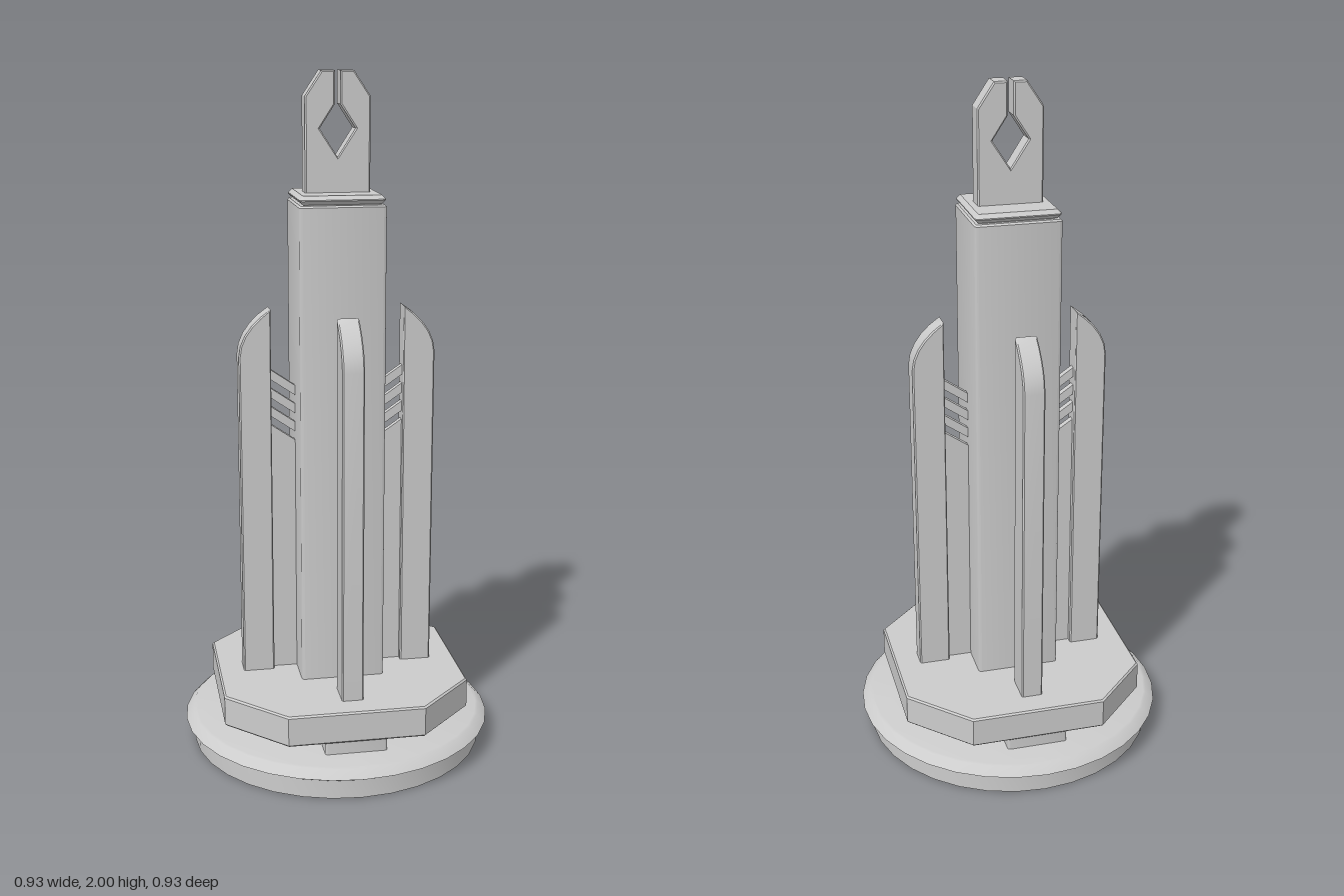
import * as THREE from 'three';
import { toCreasedNormals } from 'three/addons/utils/BufferGeometryUtils.js';

const material = new THREE.MeshStandardMaterial({ color: 0xcccccc });

function add(parent, name, geometry) {
  const mesh = new THREE.Mesh(geometry, material);
  mesh.name = name;
  parent.add(mesh);
  return mesh;
}

// Outline extruded along z, centred on z = 0, with a small bevel kept inside the outline
function plate(points, thickness, bevel = 0) {
  const shape = new THREE.Shape(points.map(([x, y]) => new THREE.Vector2(x, y)));
  const geometry = new THREE.ExtrudeGeometry(shape, {
    depth: thickness - 2 * bevel,
    bevelEnabled: bevel > 0,
    bevelThickness: bevel,
    bevelSize: bevel,
    bevelOffset: -bevel,
    bevelSegments: 1,
  });
  geometry.translate(0, 0, bevel - thickness / 2);
  return toCreasedNormals(geometry, 0.55);
}

// Horizontal outline raised from y0 to y1
function slab(points, y0, y1, bevel) {
  return plate(points, y1 - y0, bevel).rotateX(-Math.PI / 2).translate(0, (y0 + y1) / 2, 0);
}

// Rectangle around (cx, 0) with rounded corners
function roundedRect(hx, hy, r, cx = 0) {
  const points = [];
  [[1, 1], [-1, 1], [-1, -1], [1, -1]].forEach(([sx, sy], corner) => {
    for (let k = 0; k <= 3; k++) {
      const angle = (corner + k / 3) * Math.PI / 2;
      points.push([cx + sx * (hx - r) + r * Math.cos(angle), sy * (hy - r) + r * Math.sin(angle)]);
    }
  });
  return points;
}

export function createModel() {
  const model = new THREE.Group();
  model.name = 'tower';

  // Round base, hollow underneath, with a sharp flared rim
  const profile = [[0, 0.082], [0.434, 0.082], [0.434, 0], [0.438, 0], [0.438, 0.055],
    [0.464, 0.07], [0.44, 0.093], [0.432, 0.095], [0, 0.095]];
  const base = new THREE.LatheGeometry(profile.map(([r, y]) => new THREE.Vector2(r, y)), 32);
  add(model, 'roundBase', toCreasedNormals(base, 0.55));

  // Octagonal platform
  const a = 0.364, b = 0.199;
  const octagon = [[a, -b], [a, b], [b, a], [-b, a], [-a, b], [-a, -b], [-b, -a], [b, -a]];
  add(model, 'platform', slab(octagon, 0.135, 0.228, 0.005));

  // Square shaft, recessed neck and sharp-edged cap; the shaft shows through the base's ceiling
  add(model, 'shaft', slab(roundedRect(0.1235, 0.1235, 0.009), 0.08, 1.638, 0.005));
  add(model, 'capNeck', slab(roundedRect(0.108, 0.108, 0.008), 1.62, 1.66, 0));
  add(model, 'cap', slab(roundedRect(0.122, 0.122, 0.012), 1.64, 1.665, 0.011));

  // Four buttresses around the shaft, each with its foot, web and slanted slats
  const fin = [[0.195, 0.2], [0.288, 0.2], [0.288, 1.2], [0.283, 1.231], [0.27, 1.261],
    [0.25, 1.289], [0.226, 1.313], [0.195, 1.336]];
  const web = [[0.11, 0.2], [0.2, 0.2], [0.2, 0.995], [0.11, 0.933]];
  for (let i = 0; i < 4; i++) {
    const side = new THREE.Group();
    side.name = 'buttress';
    side.rotation.y = i * Math.PI / 2;
    add(side, 'foot', slab(roundedRect(0.081, 0.091, 0.008, 0.27), 0.08, 0.14, 0));
    add(side, 'fin', plate(fin, 0.063, 0.004));
    add(side, 'web', plate(web, 0.02));
    for (let k = 1; k <= 3; k++) {
      const top = 0.995 + k * 0.055, t = 0.029;
      const slat = [[0.11, top - 0.062 - t], [0.2, top - t], [0.2, top], [0.11, top - 0.062]];
      add(side, 'slat', plate(slat, 0.02));
    }
    model.add(side);
  }

  // Forked finial with a diamond opening below a narrow slot
  const half = [[0.093, 1.65], [0.093, 1.93], [0.046, 2], [0.008, 2], [0.008, 1.908], [0.051, 1.842]];
  const fork = [...half, [0, 1.763], ...half.map(([x, y]) => [-x, y]).reverse()];
  add(model, 'forkedFinial', plate(fork, 0.062, 0.004));

  return model;
}
